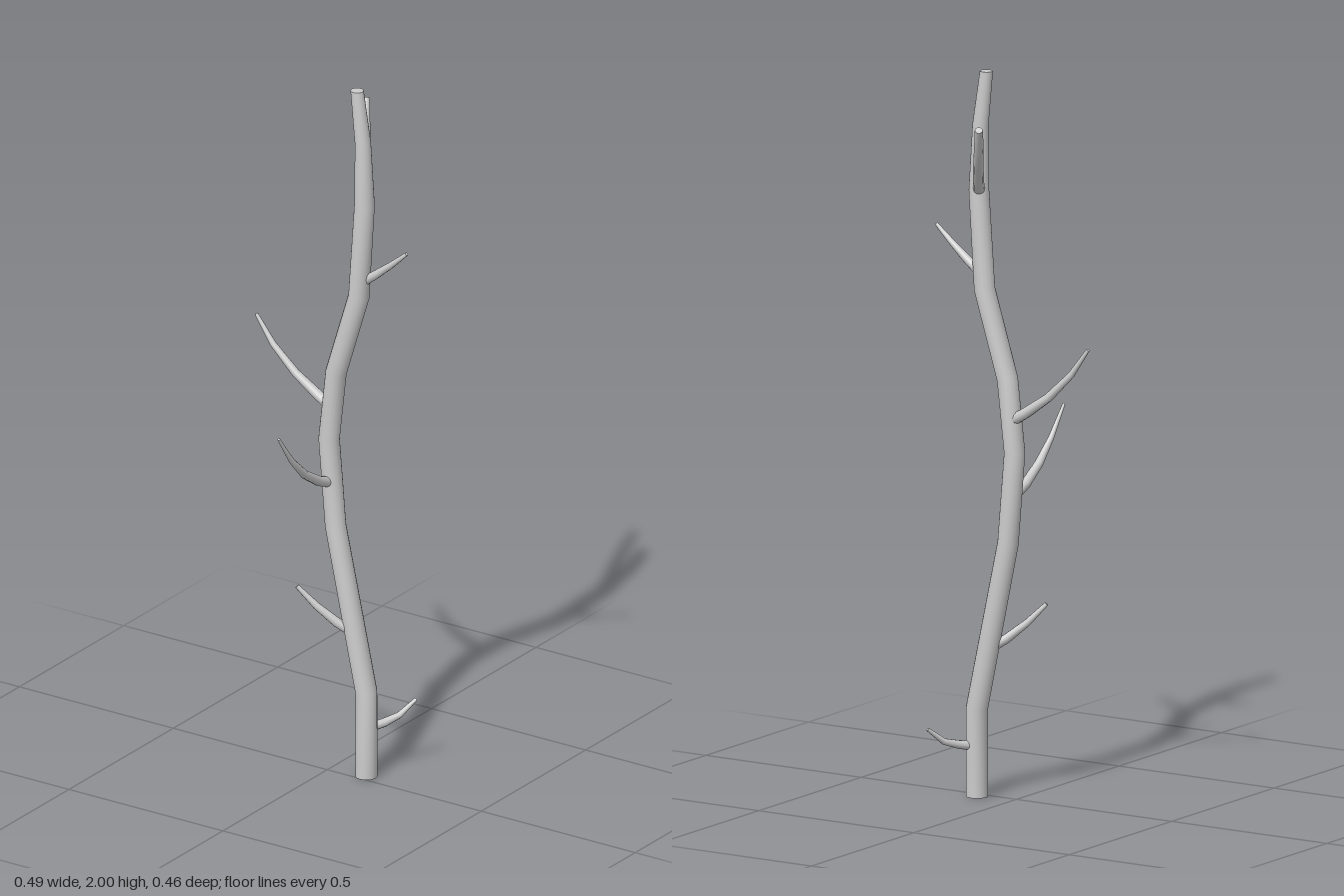
import * as THREE from 'three';

const material = new THREE.MeshStandardMaterial({ color: 0xcccccc });

// Tapered limb: one ring per [x, y, z, radius] station, closed with flat end caps
function limb(name, stations, sides, endDirection) {
  const points = stations.map(([x, y, z]) => new THREE.Vector3(x, y, z));
  const last = points.length - 1;
  const positions = [], index = [];
  const side = new THREE.Vector3(), up = new THREE.Vector3();
  const rings = points.map((p, i) => {
    const dir = points[Math.min(i + 1, last)].clone().sub(points[Math.max(i - 1, 0)]).normalize();
    if (i === last && endDirection) dir.copy(endDirection);
    // A single fixed reference keeps the rings from twisting
    const ref = endDirection ? new THREE.Vector3(0, 0, 1) : new THREE.Vector3(0, 1, 0);
    side.crossVectors(ref, dir).normalize();
    up.crossVectors(dir, side);
    return Array.from({ length: sides }, (_, k) => {
      const a = (k / sides) * Math.PI * 2;
      return p.clone()
        .addScaledVector(side, Math.cos(a) * stations[i][3])
        .addScaledVector(up, Math.sin(a) * stations[i][3]);
    });
  });
  rings.forEach(ring => ring.forEach(v => positions.push(v.x, v.y, v.z)));
  for (let i = 0; i < last; i++) {
    for (let k = 0; k < sides; k++) {
      const a = i * sides + k, b = i * sides + (k + 1) % sides;
      index.push(a, b, b + sides, a, b + sides, a + sides);
    }
  }
  // Caps have their own vertices so that their edges stay sharp
  for (const [ring, flip] of [[rings[0], true], [rings[last], false]]) {
    const start = positions.length / 3;
    ring.forEach(v => positions.push(v.x, v.y, v.z));
    for (let k = 1; k < sides - 1; k++) {
      if (flip) index.push(start, start + k + 1, start + k);
      else index.push(start, start + k, start + k + 1);
    }
  }
  const geometry = new THREE.BufferGeometry();
  geometry.setAttribute('position', new THREE.Float32BufferAttribute(positions, 3));
  geometry.setIndex(index);
  geometry.computeVertexNormals();
  const mesh = new THREE.Mesh(geometry, material);
  mesh.name = name;
  return mesh;
}

export function createModel() {
  const group = new THREE.Group();
  group.name = 'branch';

  // Main stem, bending only in the x-y plane
  const stem = [
    [0.11, 0, 0.03], [0.11, 0.245, 0.03], [0.01, 0.71, 0.029], [-0.011, 0.96, 0.029],
    [0.012, 1.16, 0.029], [0.086, 1.4, 0.029], [0.104, 1.67, 0.028], [0.099, 1.85, 0.022], [0.08, 2, 0.018],
  ].map(([x, y, r]) => [x, y, -0.025, r]);
  group.add(limb('stem', stem, 16, new THREE.Vector3(0, 1, 0)));

  // Side twigs, from the lowest to the highest
  const twigs = {
    lowestTwig: [[0.115, 0.14, -0.03, 0.013], [0.138, 0.147, -0.07, 0.012], [0.16, 0.16, -0.11, 0.009], [0.186, 0.198, -0.151, 0.005]],
    lowerTwig: [[0.065, 0.415, -0.02, 0.014], [0.03, 0.44, 0, 0.013], [-0.02, 0.485, 0.024, 0.01], [-0.067, 0.538, 0.046, 0.006]],
    frontTwig: [[-0.002, 0.835, -0.02, 0.015], [-0.002, 0.86, 0.04, 0.014], [0, 0.905, 0.11, 0.012], [0, 0.965, 0.17, 0.008], [-0.003, 1.048, 0.228, 0.004]],
    longTwig: [[0, 1.045, -0.033, 0.016], [-0.05, 1.075, -0.03, 0.015], [-0.12, 1.125, -0.025, 0.012], [-0.19, 1.195, -0.02, 0.009], [-0.244, 1.27, -0.02, 0.005]],
    upperTwig: [[0.1, 1.445, -0.027, 0.014], [0.14, 1.475, -0.028, 0.012], [0.19, 1.515, -0.026, 0.009], [0.241, 1.56, -0.025, 0.005]],
    highestTwig: [[0.1, 1.668, -0.03, 0.016], [0.066, 1.71, -0.085, 0.015], [0.03, 1.765, -0.14, 0.014], [0, 1.825, -0.183, 0.013], [-0.023, 1.884, -0.218, 0.011]],
  };
  for (const [name, stations] of Object.entries(twigs)) group.add(limb(name, stations, 10));

  return group;
}
